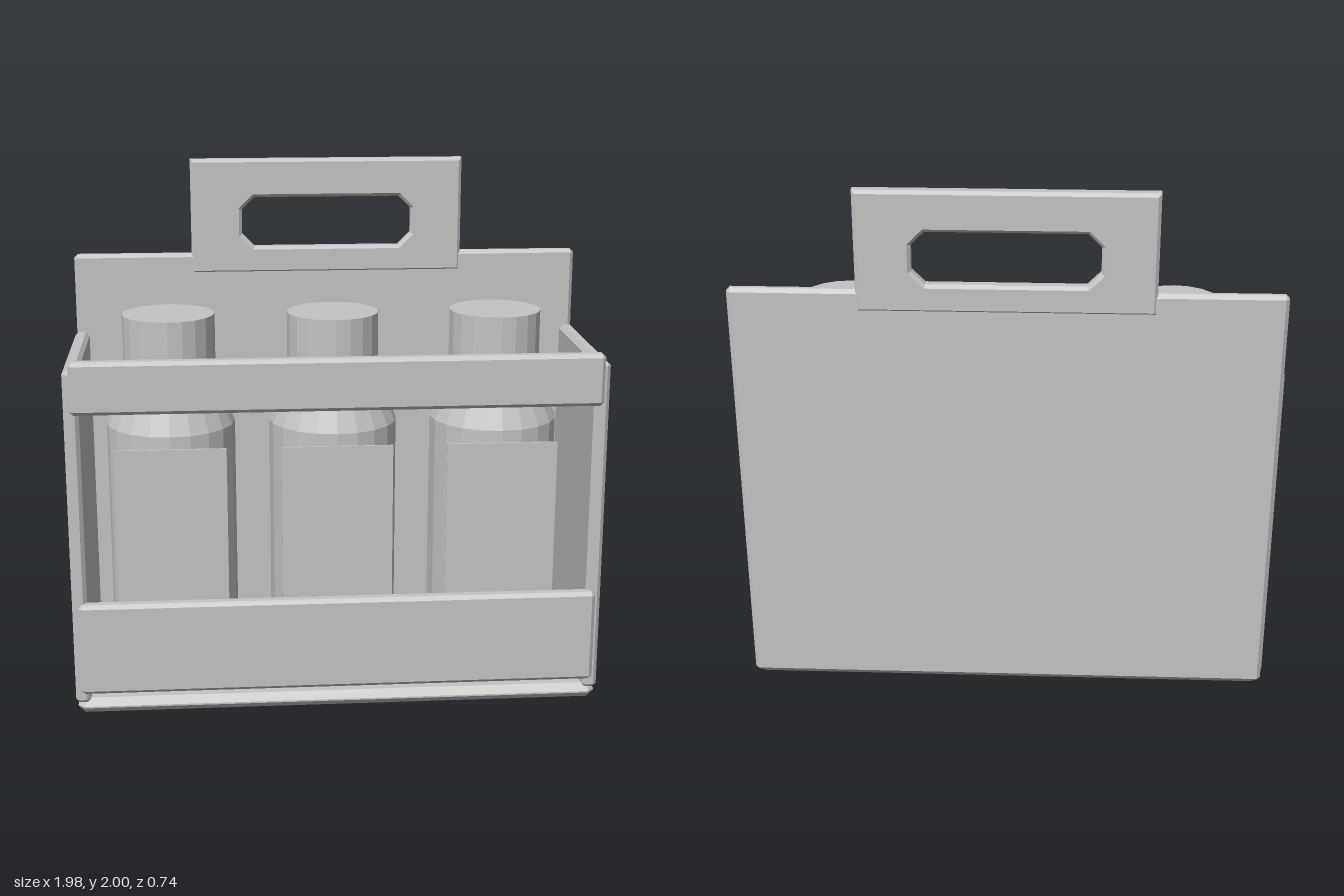
import * as THREE from 'three';
import { ConvexGeometry } from 'three/addons/geometries/ConvexGeometry.js';

const grey = new THREE.MeshStandardMaterial({ color: 0xc4c4c4 });
grey.name = 'plain grey';

function add(parent, name, geometry) {
  const mesh = new THREE.Mesh(geometry, grey);
  mesh.name = name;
  parent.add(mesh);
  return mesh;
}

// Box between two corners with a single flat chamfer on every edge
function chamferBox([x0, y0, z0], [x1, y1, z1], c) {
  const centre = [(x0 + x1) / 2, (y0 + y1) / 2, (z0 + z1) / 2];
  const half = [(x1 - x0) / 2, (y1 - y0) / 2, (z1 - z0) / 2];
  const points = [];
  for (let axis = 0; axis < 3; axis++)
    for (const sx of [-1, 1]) for (const sy of [-1, 1]) for (const sz of [-1, 1]) {
      const p = [sx, sy, sz].map((s, i) => centre[i] + s * (half[i] - (i === axis ? 0 : c)));
      points.push(new THREE.Vector3(...p));
    }
  return new ConvexGeometry(points);
}

// Faceted solid of revolution from [radius, height] pairs
function faceted(profile) {
  const points = profile.map(([r, y]) => new THREE.Vector2(r, y));
  const geometry = new THREE.LatheGeometry(points, 20).toNonIndexed();
  geometry.computeVertexNormals();
  return geometry;
}

// Carrying handle with a slot whose corners are cut off
function handleGeometry() {
  const b = 0.012;
  const shape = new THREE.Shape([
    [-0.528, 1.555], [0.528, 1.555], [0.528, 2], [-0.528, 2],
  ].map(p => new THREE.Vector2(...p)));
  const w = 0.33, lo = 1.66, hi = 1.852, k = 0.048;
  shape.holes.push(new THREE.Path([
    [-w + k, lo], [-w, lo + k], [-w, hi - k], [-w + k, hi],
    [w - k, hi], [w, hi - k], [w, lo + k], [w - k, lo],
  ].map(p => new THREE.Vector2(...p))));
  const geometry = new THREE.ExtrudeGeometry(shape, {
    depth: 0.053 - 2 * b, bevelThickness: b, bevelSize: b, bevelOffset: -b, bevelSegments: 1,
  });
  return geometry.translate(0, 0, -0.368 + b);
}

function createBottle() {
  const bottle = new THREE.Group();
  bottle.name = 'bottle';
  add(bottle, 'bottleBody', faceted([
    [0, 0.055], [0.243, 0.055], [0.243, 1.05], [0.18, 1.2], [0.18, 1.225], [0, 1.225],
  ]));
  add(bottle, 'bottleCap', faceted([[0, 1.2], [0.173, 1.2], [0.173, 1.465], [0, 1.465]]));
  // Flat label card just in front of the body
  const label = add(bottle, 'label', new THREE.BoxGeometry(0.415, 0.8, 0.009));
  label.position.set(0, 0.605, 0.245);
  return bottle;
}

export function createModel() {
  const model = new THREE.Group();
  model.name = 'bottleCarrier';

  // Carton shell
  add(model, 'base', chamferBox([-0.985, 0, -0.34], [0.985, 0.058, 0.345], 0.026));
  add(model, 'backPanel', chamferBox([-0.985, 0.03, -0.362], [0.985, 1.635, -0.32], 0.014));
  for (const s of [-1, 1]) {
    const x0 = s < 0 ? -0.992 : 0.936;
    add(model, s < 0 ? 'rightSide' : 'leftSide',
      chamferBox([x0, 0.045, -0.33], [x0 + 0.056, 1.33, 0.343], 0.014));
  }

  // Front bands
  add(model, 'upperBand', chamferBox([-0.968, 1.17, 0.312], [0.968, 1.365, 0.368], 0.014));
  add(model, 'lowerBand', chamferBox([-0.968, 0.09, 0.312], [0.968, 0.445, 0.368], 0.014));

  add(model, 'handle', handleGeometry());

  // Row of three bottles
  for (const x of [-0.617, 0, 0.617]) {
    const bottle = createBottle();
    bottle.position.x = x;
    model.add(bottle);
  }
  return model;
}
